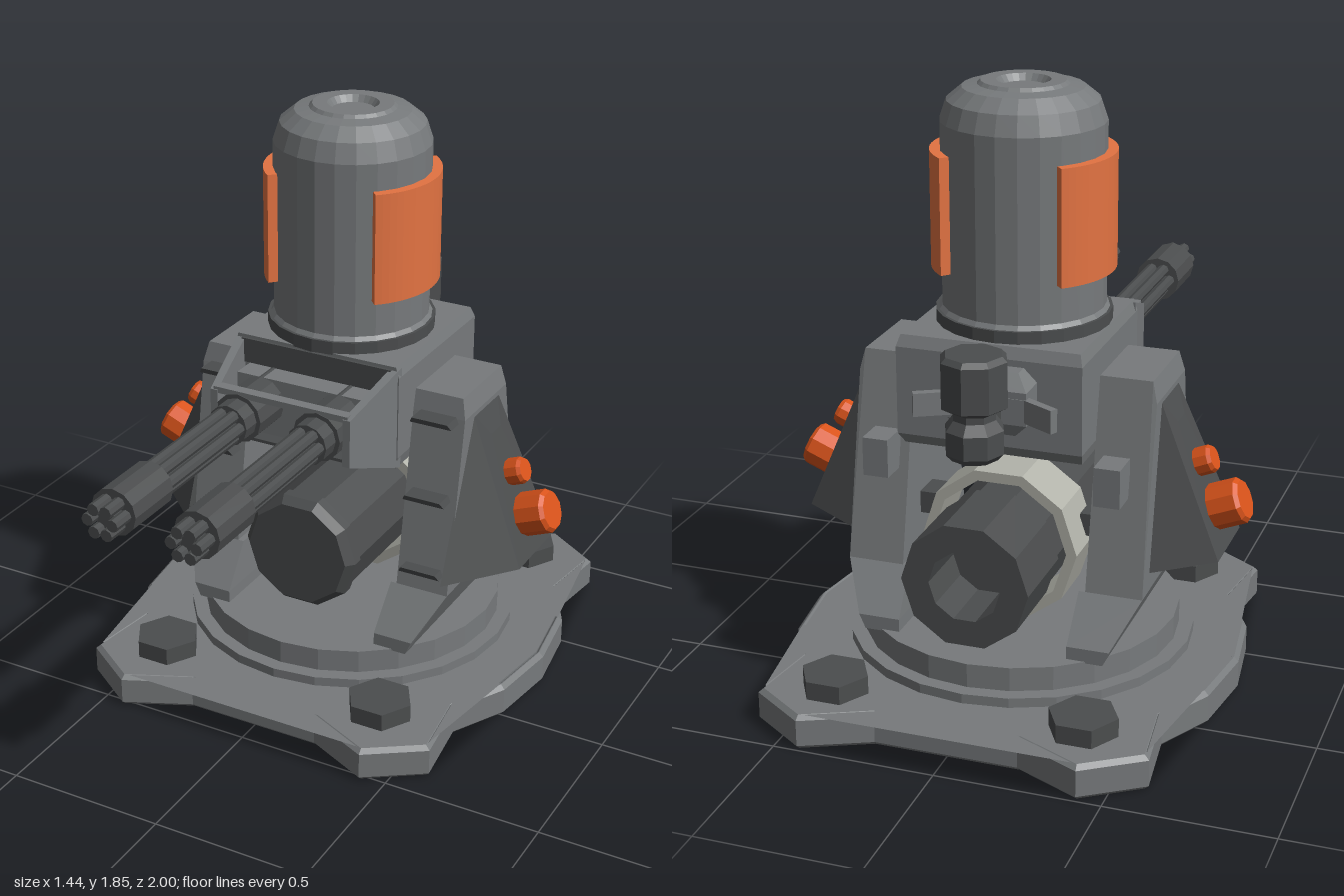
import * as THREE from 'three';
import { ConvexGeometry } from 'three/addons/geometries/ConvexGeometry.js';

const AXIS = -0.235; // z of the turret's vertical axis

function paint(name, color) {
  const m = new THREE.MeshStandardMaterial({ color, flatShading: true });
  m.name = name;
  return m;
}

export function createModel() {
  const grey = paint('grey metal', 0x777a7c);
  const dark = paint('dark metal', 0x4b4d4e);
  const orange = paint('orange knob', 0xdb541b);
  const copper = paint('copper panel', 0xe37342);
  const pale = paint('pale ring', 0xb2b3aa);
  const model = new THREE.Group();
  model.name = 'turret';

  const add = (name, geo, mat, parent = model) => {
    const mesh = new THREE.Mesh(geo, mat);
    mesh.name = name;
    parent.add(mesh);
    return mesh;
  };
  const box = (name, mat, w, h, d, x, y, z, parent) => {
    const m = add(name, new THREE.BoxGeometry(w, h, d), mat, parent);
    m.position.set(x, y, z);
    return m;
  };
  // cylinder running from point a to point b
  const rod = (name, mat, a, b, r0, r1, seg, parent) => {
    const p = new THREE.Vector3(...a), q = new THREE.Vector3(...b);
    const dir = q.clone().sub(p);
    const m = add(name, new THREE.CylinderGeometry(r1, r0, dir.length(), seg), mat, parent);
    m.position.copy(p).add(q).multiplyScalar(0.5);
    m.quaternion.setFromUnitVectors(new THREE.Vector3(0, 1, 0), dir.normalize());
    return m;
  };
  const hull = (name, mat, pts, parent) =>
    add(name, new ConvexGeometry(pts.map(p => new THREE.Vector3(...p))), mat, parent);
  // solid through rectangles [y, x0, x1, z0, z1]
  const stack = (name, mat, rows, parent) => hull(name, mat, rows.flatMap(([y, x0, x1, z0, z1]) =>
    [[x0, y, z0], [x1, y, z0], [x1, y, z1], [x0, y, z1]]), parent);
  // ten-sided lathe along z with a flat on top
  const latheZ = (name, mat, profile, x, y) => {
    const geo = new THREE.LatheGeometry(profile.map(p => new THREE.Vector2(...p)), 10);
    geo.rotateX(Math.PI / 2);
    geo.rotateZ(Math.PI / 10);
    add(name, geo, mat).position.set(x, y, 0);
  };

  // base plate with four bolt lugs, hollow underneath
  const quarter = [[0.697, 0], [0.665, 0.235], [0.572, 0.41], [0.602, 0.645], [0.425, 0.765], [0.22, 0.67]];
  const outline = [];
  for (const [sx, sy] of [[1, 1], [-1, 1], [-1, -1], [1, -1]]) {
    const part = quarter.map(([x, y]) => new THREE.Vector2(x * sx, y * sy));
    if (sx * sy < 0) part.reverse();
    outline.push(...part.filter(p => p.y !== 0 || sy > 0));
  }
  const slab = (name, shape, y, depth, bevel) => {
    const geo = new THREE.ExtrudeGeometry(shape, { depth: depth - 2 * bevel, bevelEnabled: bevel > 0,
      bevelThickness: bevel, bevelSize: bevel, bevelOffset: -bevel, bevelSegments: 1 });
    geo.rotateX(-Math.PI / 2);
    add(name, geo, grey).position.set(0, y + bevel, AXIS);
  };
  const rim = new THREE.Shape(outline);
  rim.holes.push(new THREE.Path(outline.map(p => p.clone().multiplyScalar(0.955)).reverse()));
  slab('baseRim', rim, 0, 0.11, 0.014);
  slab('baseTop', new THREE.Shape(outline.map(p => p.clone().multiplyScalar(0.965))), 0.09, 0.02, 0);
  rod('lowerTurntable', grey, [0, 0.085, AXIS], [0, 0.14, AXIS], 0.535, 0.535, 24);
  rod('upperTurntable', grey, [0, 0.14, AXIS], [0, 0.215, AXIS], 0.49, 0.49, 24);
  for (const x of [-0.385, 0.385]) for (const z of [0.315, -0.805])
    rod('baseBolt', dark, [x, 0.075, z], [x, 0.167, z], 0.105, 0.105, 6).rotation.y = Math.PI / 6;

  // yoke arms, mirrored left and right
  for (const s of [1, -1]) {
    const arm = new THREE.Group();
    arm.name = s > 0 ? 'leftArm' : 'rightArm';
    model.add(arm);
    stack('armFoot', grey, [
      [0.21, s * 0.265, s * 0.375, 0.125, -0.6], [0.255, s * 0.265, s * 0.395, 0.125, -0.6],
      [0.39, s * 0.27, s * 0.465, 0.02, -0.5]], arm);
    stack('armColumn', grey, [
      [0.39, s * 0.29, s * 0.465, 0.02, -0.5], [0.96, s * 0.29, s * 0.465, -0.075, -0.38],
      [1.025, s * 0.29, s * 0.45, -0.09, -0.37]], arm);
    for (const [y, z] of [[0.46, 0.01], [0.705, -0.01], [0.955, -0.05]])
      stack('armRib', dark, [[y - 0.01, s * 0.305, s * 0.445, z - 0.05, z + 0.03],
        [y + 0.01, s * 0.315, s * 0.435, z - 0.05, z + 0.04]], arm);
    box('rearRib', grey, 0.08, 0.12, 0.1, s * 0.36, 0.74, -0.475, arm);
    // side wedge with a sloping face
    hull('sideWedge', dark, [
      [s * 0.46, 0.955, -0.145], [s * 0.46, 0.955, -0.325], [s * 0.46, 0.445, 0.06], [s * 0.46, 0.445, -0.43],
      [s * 0.5, 0.87, -0.2], [s * 0.5, 0.87, -0.27], [s * 0.655, 0.48, -0.1], [s * 0.655, 0.48, -0.36]], arm);
    // knobs standing square to the wedge face
    for (const [x, y, r, len] of [[0.585, 0.59, 0.07, 0.125], [0.54, 0.73, 0.043, 0.07]]) {
      const at = d => [s * (x + 0.927 * d), y + 0.375 * d, AXIS];
      rod('sideKnob', orange, at(0), at(len - 0.012), r, r, 10, arm);
      rod('sideKnobTip', orange, at(len - 0.012), at(len), r, r * 0.85, 10, arm);
    }
    box('drumAxle', dark, 0.08, 0.07, 0.1, s * 0.265, 0.535, -0.3, arm);
  }

  // turret body between the arms
  stack('turretBody', grey, [
    [0.79, -0.275, 0.275, 0.01, -0.49], [0.83, -0.285, 0.285, 0.02, -0.525],
    [1.1, -0.285, 0.285, 0.02, -0.525], [1.135, -0.275, 0.275, 0.02, -0.51]]);
  // gun cage: cheeks, cross bar, floor and back panels
  for (const s of [1, -1])
    hull('cageCheek', grey, [
      [s * 0.255, 0.79, 0], [s * 0.285, 0.79, 0], [s * 0.255, 1.13, 0], [s * 0.285, 1.13, 0],
      [s * 0.215, 0.89, 0.25], [s * 0.24, 0.89, 0.25], [s * 0.215, 1.045, 0.25], [s * 0.24, 1.045, 0.25]]);
  box('cageTopBar', grey, 0.46, 0.02, 0.035, 0, 1.045, 0.23);
  hull('cageFloor', dark, [-1, 1].flatMap(s => [
    [s * 0.265, 0.79, 0], [s * 0.265, 0.81, 0], [s * 0.235, 0.845, 0.15], [s * 0.235, 0.855, 0.15]]));
  box('cageBackPanel', dark, 0.52, 0.08, 0.008, 0, 1.085, 0.024);
  box('gunBlock', grey, 0.46, 0.19, 0.09, 0, 0.95, 0.06);

  // twin rotary guns
  for (const x of [-0.145, 0.127]) {
    const gun = new THREE.Group();
    gun.name = 'rotaryGun';
    gun.position.set(x, 0.967, 0);
    model.add(gun);
    rod('gunSocket', dark, [0, 0, 0.02], [0, 0, 0.25], 0.08, 0.08, 12, gun);
    rod('rearCollar', dark, [0, 0, 0.25], [0, 0, 0.31], 0.066, 0.066, 12, gun);
    rod('gunCore', dark, [0, 0, 0.3], [0, 0, 0.97], 0.034, 0.034, 8, gun);
    for (let i = 0; i < 6; i++) {
      const a = i * Math.PI / 3, bx = 0.041 * Math.cos(a), by = 0.041 * Math.sin(a);
      rod('barrel', dark, [bx, by, 0.3], [bx, by, 1], 0.019, 0.019, 8, gun);
    }
    rod('muzzleCollar', dark, [0, 0, 0.735], [0, 0, 0.93], 0.074, 0.074, 12, gun);
  }

  // domed tower with curved side panels
  const dome = [[0.26, 1.12], [0.26, 1.165], [0.245, 1.185], [0.245, 1.735], [0.225, 1.795], [0.18, 1.832],
    [0.135, 1.84], [0.125, 1.85], [0.08, 1.85], [0.065, 1.83], [0, 1.83]];
  add('tower', new THREE.LatheGeometry(dome.map(p => new THREE.Vector2(...p)), 24), grey)
    .position.set(-0.01, 0, AXIS);
  rod('towerCollar', dark, [-0.01, 1.13, AXIS], [-0.01, 1.172, AXIS], 0.264, 0.264, 24);
  for (const turn of [0, Math.PI]) {
    const arc = new THREE.Shape();
    const half = 0.84;
    arc.absarc(0, 0, 0.275, turn - half, turn + half, false);
    arc.absarc(0, 0, 0.236, turn + half, turn - half, true);
    const geo = new THREE.ExtrudeGeometry(arc, { depth: 0.35, bevelEnabled: false, curveSegments: 10 });
    geo.rotateX(-Math.PI / 2);
    add('towerPanel', geo, copper).position.set(-0.01, 1.3, AXIS);
  }

  // ammunition drum with hollow rear end, and its guard ring
  latheZ('drum', dark, [[0, -0.55], [0.11, -0.55], [0.11, -0.75], [0.195, -0.75], [0.195, -0.48],
    [0.184, -0.48], [0.184, 0.07], [0.195, 0.075], [0.195, 0.11], [0.172, 0.137], [0, 0.137]], -0.005, 0.475);
  latheZ('guardRing', pale, [[0.212, -0.46], [0.245, -0.46], [0.245, -0.28], [0.212, -0.28], [0.212, -0.46]],
    -0.005, 0.48);

  // rear sensor on a short arm
  stack('sensorArm', grey, [[0.9, -0.11, 0.05, -0.5, -0.6], [0.94, -0.15, 0.09, -0.5, -0.62],
    [1.04, -0.15, 0.09, -0.5, -0.62], [1.08, -0.11, 0.05, -0.5, -0.57]]);
  box('sensorBracket', grey, 0.22, 0.07, 0.025, -0.035, 0.985, -0.61);
  for (const s of [1, -1])
    box('sensorBracketWing', grey, 0.12, 0.07, 0.025, -0.035 + s * 0.16, 0.985, -0.635).rotation.y = s * 0.5;
  box('sensorLink', dark, 0.09, 0.08, 0.12, -0.03, 0.985, -0.66);
  const s0 = [[0, 0.87], [0.07, 0.87], [0.088, 0.89], [0.088, 0.96], [0.065, 0.99], [0.065, 1.01],
    [0.1, 1.03], [0.1, 1.165], [0.085, 1.18], [0, 1.18]];
  add('sensor', new THREE.LatheGeometry(s0.map(p => new THREE.Vector2(...p)), 8), dark)
    .position.set(-0.03, 0, -0.715);

  return model;
}
